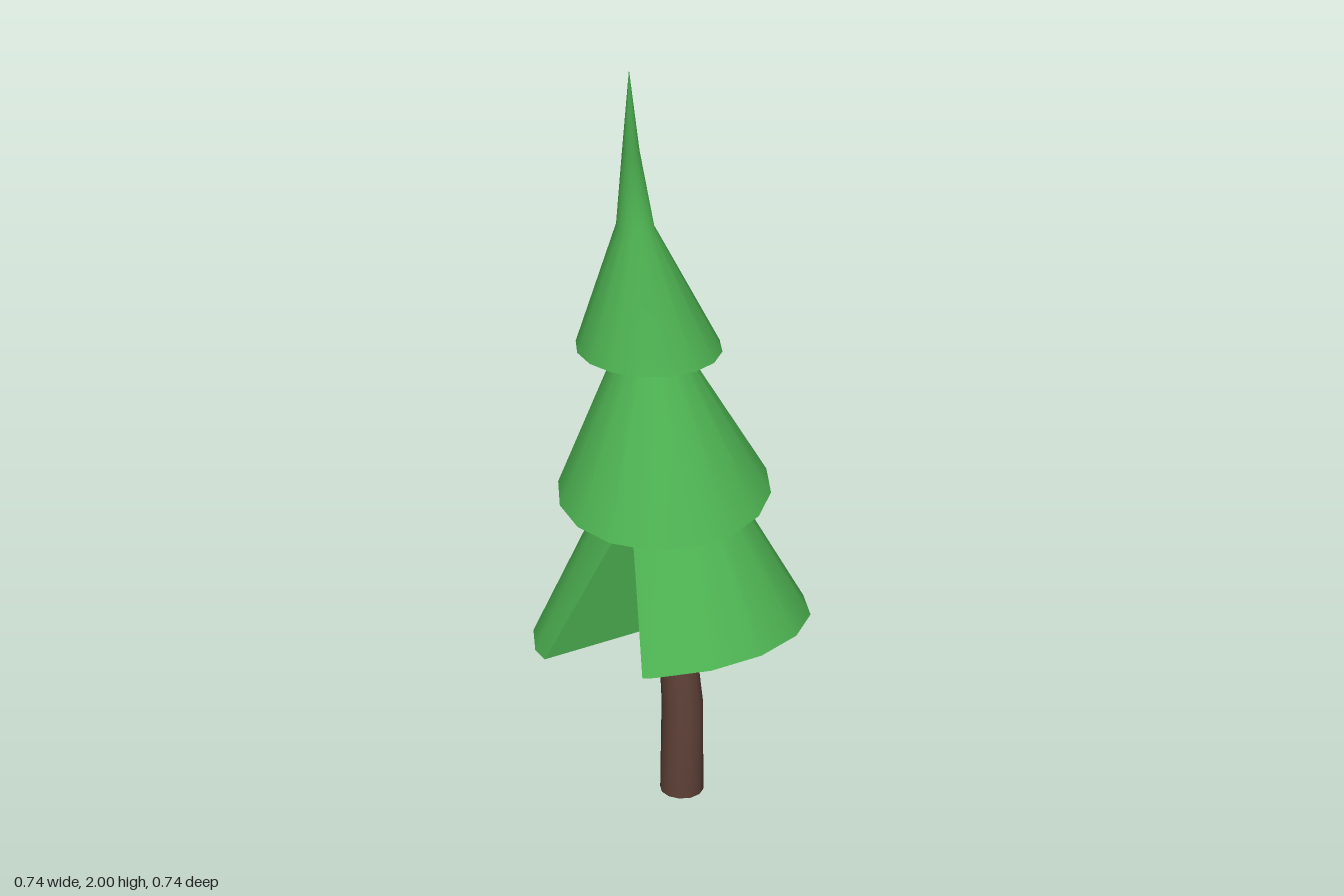
import * as THREE from 'three';

const green = new THREE.MeshStandardMaterial({ color: 0x4caf50 });
const brown = new THREE.MeshStandardMaterial({ color: 0x5d4037 });
const SIDES = 16;

// Ring: centre x,y,z, radii rx,rz and the tilt of its plane (rise per unit x and z)
const ring = (x, y, z, rx, rz = rx, tx = 0, tz = 0) => ({ x, y, z, rx, rz, tx, tz });

function pointOn(r, degrees) {
  const a = THREE.MathUtils.degToRad(degrees);
  const dx = r.rx * Math.cos(a), dz = r.rz * Math.sin(a);
  return [r.x + dx, r.y + r.tx * dx + r.tz * dz, r.z + dz];
}

function geometryFrom(points, index) {
  const g = new THREE.BufferGeometry();
  g.setAttribute('position', new THREE.Float32BufferAttribute(points.flat(), 3));
  if (index) g.setIndex(index);
  g.computeVertexNormals();
  return g;
}

// Lofts rings from bottom to top; each notch [from, to] is a wedge cut
// to the centre of the base that closes up at the second ring.
function loft(name, material, rings, notches = [], sides = SIDES) {
  const columns = [];
  for (let i = 0; i < sides; i++) {
    const a = (i * 360) / sides;
    if (!notches.some(([from, to]) => a >= from && a <= to)) columns.push({ base: a, top: a });
  }
  for (const [from, to] of notches) {
    const mid = (from + to) / 2;
    columns.push({ base: from, top: mid, opens: true }, { base: to, top: mid });
  }
  columns.sort((p, q) => p.base - q.base);

  const n = columns.length;
  const grid = rings.map((r, k) => columns.map((c) => pointOn(r, k ? c.top : c.base)));
  const index = [], flat = [];
  const centre = (r) => [r.x, r.y, r.z];
  const low = centre(rings[0]), last = rings.length - 1, high = centre(rings[last]);

  for (let i = 0; i < n; i++) {
    const j = (i + 1) % n;
    if (columns[i].opens) {
      // two walls of the notch
      const peak = grid[1][i];
      flat.push(low, grid[0][i], peak, low, peak, grid[0][j]);
      continue;
    }
    for (let k = 0; k < last; k++) {
      const a = k * n + i, b = k * n + j;
      index.push(a, a + n, b);
      if (rings[k + 1].rx > 0) index.push(b, a + n, b + n);
    }
    flat.push(low, grid[0][i], grid[0][j]);
    if (rings[last].rx > 0) flat.push(high, grid[last][j], grid[last][i]);
  }

  const group = new THREE.Group();
  group.name = name;
  const side = new THREE.Mesh(geometryFrom(grid.flat(), index), material);
  side.name = name + 'Side';
  const caps = new THREE.Mesh(geometryFrom(flat), material);
  caps.name = name + 'Caps';
  group.add(side, caps);
  return group;
}

export function createModel() {
  const tree = new THREE.Group();
  tree.name = 'pineTree';

  // Bent trunk
  tree.add(loft('trunk', brown, [
    ring(0.035, 0, 0.045, 0.059, 0.055),
    ring(0.035, 0.27, 0.035, 0.056, 0.058),
    ring(0.0125, 0.52, 0.012, 0.047, 0.044),
  ], [], 12));

  // Wide lower branches with two notches
  tree.add(loft('lowerBranches', green, [
    ring(0, 0.49, 0, 0.37, 0.37, 0.13, 0.14),
    ring(-0.012, 0.88, -0.04, 0.158, 0.158, 0.05, -0.02),
  ], [[94.7, 145.7], [220.6, 266.9]]));

  // Middle branches with one notch at the back
  tree.add(loft('middleBranches', green, [
    ring(-0.025, 0.86, -0.065, 0.28, 0.295, 0, -0.1),
    ring(-0.068, 1.255, -0.11, 0.077, 0.08),
  ], [[274.9, 312]]));

  // Top branches drawn out to a leaning tip
  tree.add(loft('topBranches', green, [
    ring(-0.07, 1.237, -0.117, 0.19, 0.19, -0.03, 0),
    ring(-0.102, 1.57, -0.11, 0.049, 0.05, -0.1, 0),
    ring(-0.108, 1.78, -0.077, 0.022, 0.024),
    ring(-0.107, 2, -0.045, 0),
  ]));

  return tree;
}
